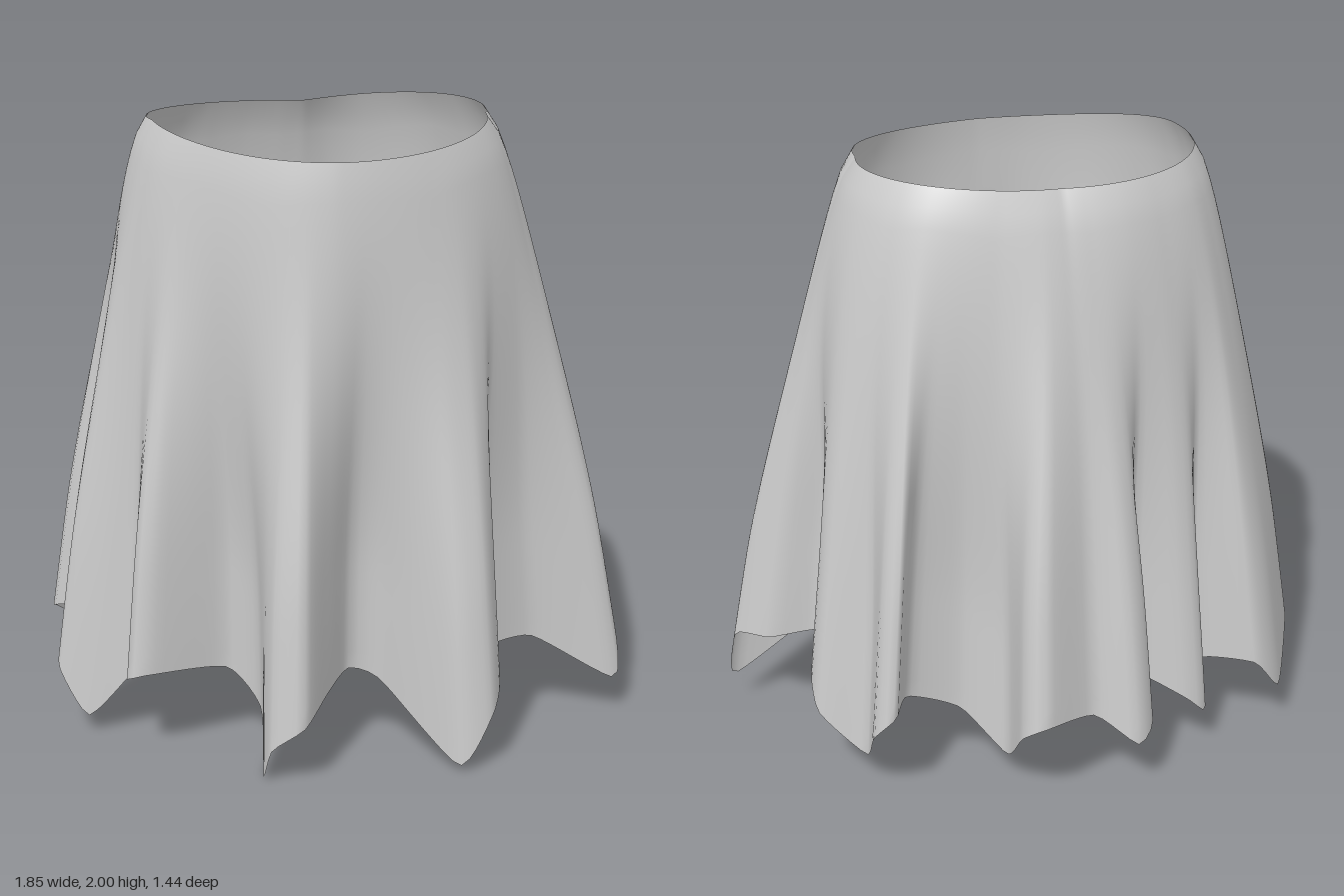
import * as THREE from 'three';

// Hem outline [x, y, z], running front -> left side -> back -> right side
const HEM = [
  // front middle valley and front left fold
  [0, 0.27, 0.42], [0.1, 0.23, 0.43], [0.32, 0.02, 0.65], [0.43, 0.18, 0.63], [0.47, 0.25, 0.52], [0.43, 0.3, 0.4],
  // left side folds
  [0.62, 0.29, 0.27], [0.91, 0.12, 0.25], [0.91, 0.32, 0.18], [0.82, 0.35, 0.07], [0.65, 0.37, 0.03],
  [0.74, 0.35, -0.18], [0.74, 0.25, -0.27], [0.61, 0.12, -0.36], [0.62, 0.28, -0.51], [0.56, 0.37, -0.56], [0.48, 0.34, -0.4],
  // back folds
  [0.3, 0.25, -0.38], [0.17, 0.1, -0.47], [0.18, 0.28, -0.66], [0.12, 0.34, -0.72], [-0.07, 0.3, -0.63],
  [-0.2, 0.2, -0.69], [-0.27, 0.24, -0.63], [-0.26, 0.32, -0.45], [-0.43, 0.22, -0.51], [-0.51, 0.15, -0.5], [-0.52, 0.27, -0.37],
  // right side folds
  [-0.69, 0.28, -0.47], [-0.8, 0.15, -0.43], [-0.91, 0.28, -0.22], [-0.91, 0.31, -0.15], [-0.7, 0.34, -0.05],
  [-0.72, 0.32, 0.05], [-0.89, 0.27, 0.09], [-0.91, 0.21, 0.16], [-0.82, 0.06, 0.21], [-0.68, 0.22, 0.26],
  // front right folds
  [-0.7, 0.27, 0.43], [-0.63, 0.29, 0.45], [-0.38, 0.26, 0.34], [-0.28, 0.15, 0.42],
  [-0.29, 0, 0.61], [-0.27, 0.12, 0.69], [-0.17, 0.2, 0.72], [-0.08, 0.25, 0.56],
].map((p) => new THREE.Vector3(...p));

const COLS = 240, ROWS = 28;
const CENTRE = new THREE.Vector3(-0.05, 0, 0.1);
const WAIST_X = 0.52, WAIST_Z = 0.415;

// Waist opening: an oval, squarer at the back and dipping at the front
function waistPoint(angle) {
  const c = Math.cos(angle), s = Math.sin(angle);
  const front = Math.max(0, s), back = Math.max(0, -s);
  const k = 1 + 0.24 * back * Math.abs(c) - 0.12 * front * Math.max(0, -c);
  const y = 1.98 - 0.07 * front ** 1.3 - 0.015 * back + 0.05 * back * Math.max(0, c);
  return new THREE.Vector3(CENTRE.x + WAIST_X * k * c, y, CENTRE.z + WAIST_Z * k * s);
}

// Average each point of a closed loop with its neighbours
function smoothLoop(points, reach) {
  const n = points.length;
  return points.map((_, i) => {
    const sum = new THREE.Vector3();
    for (let d = -reach; d <= reach; d++) sum.add(points[(i + d + n) % n]);
    return sum.divideScalar(2 * reach + 1);
  });
}

function skirtGeometry() {
  const curve = new THREE.CatmullRomCurve3(HEM, true, 'catmullrom', 0.3);
  const hem = curve.getSpacedPoints(COLS).slice(0, COLS);

  // Unfolded outline that the cloth follows over the hips
  let soft = hem;
  for (let i = 0; i < 3; i++) soft = smoothLoop(soft, 10);
  const waist = soft.map((p) => waistPoint(Math.atan2((p.z - CENTRE.z) / WAIST_Z, (p.x - CENTRE.x) / WAIST_X)));
  soft = soft.map((p) => p.clone().sub(CENTRE).multiplyScalar(1.08).add(CENTRE));

  // Rows from waist to hem: the cloth flares out while the folds deepen
  const positions = [], index = [];
  for (let j = 0; j <= ROWS; j++) {
    const t = j / ROWS;
    const flare = t ** 0.66;
    const fold = THREE.MathUtils.smoothstep(t, 0.05, 0.8);
    for (let i = 0; i < COLS; i++) {
      const p = soft[i].clone().lerp(hem[i], fold);
      p.lerpVectors(waist[i], p, flare);
      positions.push(p.x, THREE.MathUtils.lerp(waist[i].y, hem[i].y, t), p.z);
      if (j === ROWS) continue;
      const a = j * COLS + i, b = j * COLS + (i + 1) % COLS;
      index.push(a, a + COLS, b, b, a + COLS, b + COLS);
    }
  }
  const geometry = new THREE.BufferGeometry();
  geometry.setAttribute('position', new THREE.Float32BufferAttribute(positions, 3));
  geometry.setIndex(index);
  geometry.computeVertexNormals();
  return geometry;
}

export function createModel() {
  const group = new THREE.Group();
  group.name = 'skirt';
  const cloth = new THREE.Mesh(
    skirtGeometry(),
    new THREE.MeshStandardMaterial({ color: 0xcccccc, side: THREE.DoubleSide }),
  );
  cloth.name = 'drapedCloth';
  group.add(cloth);
  return group;
}
